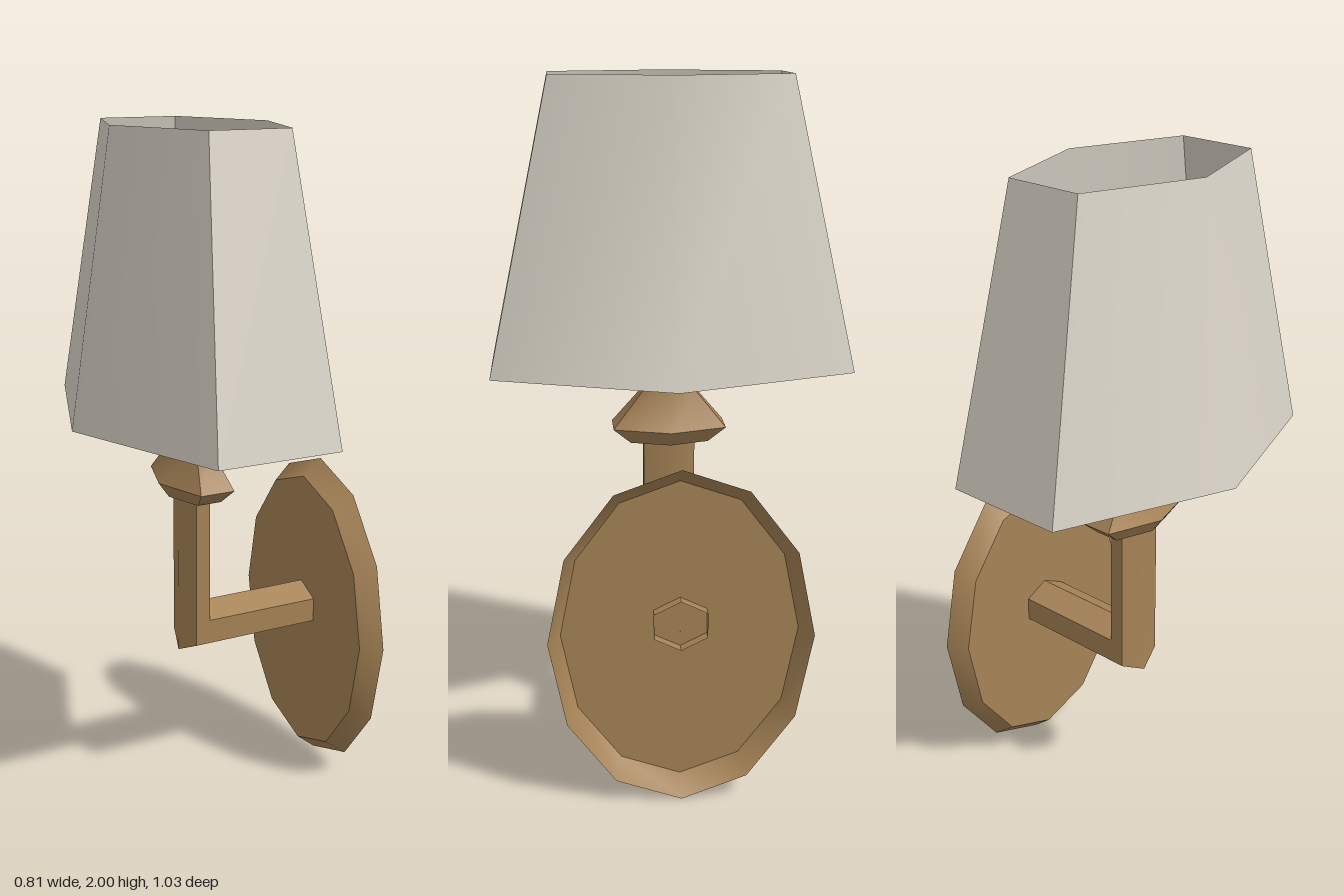
import * as THREE from 'three';
import { toCreasedNormals } from 'three/addons/utils/BufferGeometryUtils.js';

const CX = -0.04;   // axis of the shade and post
const ARM_Y = 0.527; // axis of the arm

// Skins a list of equal-length rings; soft corners stay smooth, hard ones creased
function loft(rings) {
  const n = rings[0].length;
  const index = [];
  for (let r = 0; r < rings.length - 1; r++) {
    for (let i = 0; i < n; i++) {
      const a = r * n + i, b = r * n + (i + 1) % n;
      index.push(a, a + n, b, b, a + n, b + n);
    }
  }
  const geometry = new THREE.BufferGeometry().setFromPoints(rings.flat());
  geometry.setIndex(index);
  geometry.computeVertexNormals();
  return toCreasedNormals(geometry, 0.9);
}

// Stretched hexagon in (u, z) with points on the u axis
function hex(u, z) {
  return [[u, 0], [u / 2, z], [-u / 2, z], [-u, 0], [-u / 2, -z], [u / 2, -z]];
}

// Level hexagonal ring around the lamp axis
function levelRing(y, rx, rz) {
  return hex(rx, rz).map(([u, z]) => new THREE.Vector3(CX + u, y, z));
}

// Twelve-sided upright oval ring for the wall plate
function ovalRing(x, ry, rz) {
  return Array.from({ length: 12 }, (_, i) => {
    const a = (i / 12) * Math.PI * 2;
    return new THREE.Vector3(x, 0.4975 + ry * Math.cos(a), rz * Math.sin(a));
  });
}

export function createModel() {
  const group = new THREE.Group();
  const brass = new THREE.MeshStandardMaterial({ color: 0xa68356, side: THREE.DoubleSide });
  brass.name = 'brass';
  const fabric = new THREE.MeshStandardMaterial({ color: 0xd9d3c7, side: THREE.DoubleSide });
  fabric.name = 'shadeFabric';

  const add = (name, geometry, material) => {
    const mesh = new THREE.Mesh(geometry, material);
    mesh.name = name;
    group.add(mesh);
  };

  // Open shade, with a sloping inner liner rising from its lower rim
  add('shade', loft([levelRing(1.18, 0.37, 0.513), levelRing(2, 0.24, 0.335)]), fabric);
  add('shadeLiner', loft([levelRing(1.18, 0.368, 0.51), levelRing(1.63, 0.158, 0.22)]), fabric);

  // Hollow arm, mitred into the post; its end pokes through the wall plate
  const armEnd = hex(0.073, 0.075).map(([v, z]) => new THREE.Vector3(0.38, ARM_Y + v, z));
  const mitre = hex(0.045, 0.075).map(([u, z]) =>
    new THREE.Vector3(CX + u, ARM_Y + u * 0.073 / 0.045, z));
  add('arm', loft([armEnd, mitre]), brass);
  add('post', loft([mitre, levelRing(0.945, 0.045, 0.075)]), brass);

  // Flared lamp holder and open neck
  add('lampHolder', loft([
    levelRing(0.945, 0.045, 0.075),
    levelRing(0.945, 0.074, 0.114),
    levelRing(0.99, 0.106, 0.165),
    levelRing(1.1, 0.045, 0.075),
    levelRing(1.35, 0.045, 0.075),
  ]), brass);

  // Wall plate: shallow tray, open towards the wall
  const floorRing = ovalRing(0.345, 0.443, 0.334);
  add('wallPlateRim', loft([ovalRing(0.405, 0.4925, 0.37), floorRing]), brass);
  add('wallPlateFace', loft([floorRing, ovalRing(0.345, 0.001, 0.001)]), brass);

  return group;
}
